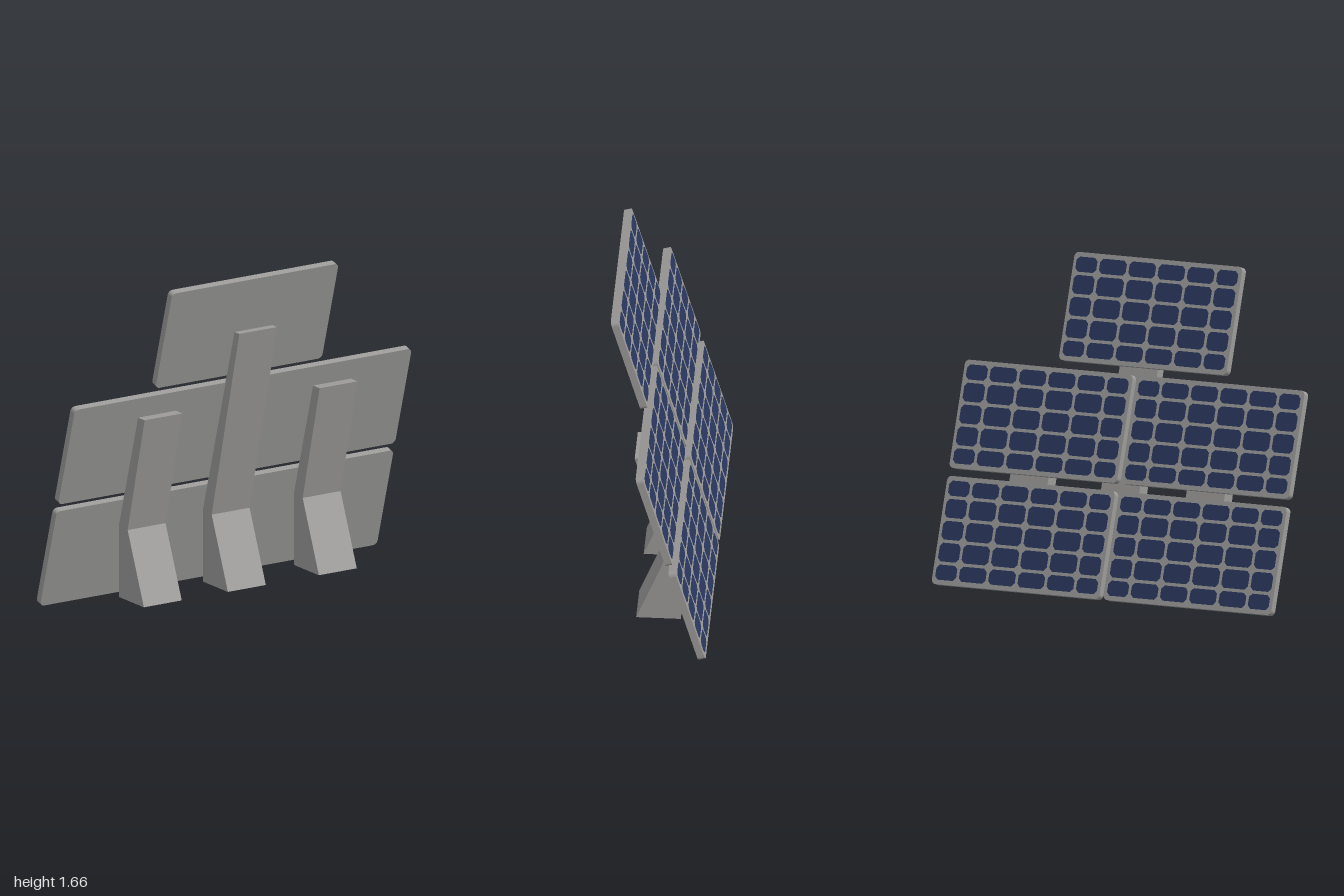
import * as THREE from 'three';

const TILT = 0.281;
const W = 0.988, H = 0.544, T = 0.036;

// Rectangle with rounded corners, centred on the origin
function roundedRect(w, h, r) {
  const s = new THREE.Shape(), x = w / 2 - r, y = h / 2 - r;
  s.absarc(x, y, r, 0, Math.PI / 2);
  s.absarc(-x, y, r, Math.PI / 2, Math.PI);
  s.absarc(-x, -y, r, Math.PI, Math.PI * 1.5);
  s.absarc(x, -y, r, Math.PI * 1.5, Math.PI * 2);
  s.closePath();
  return s;
}

// Rectangle with clipped corners
function cell(x0, x1, y0, y1, c) {
  return new THREE.Shape([
    [x0 + c, y0], [x1 - c, y0], [x1, y0 + c], [x1, y1 - c],
    [x1 - c, y1], [x0 + c, y1], [x0, y1 - c], [x0, y0 + c],
  ].map(([x, y]) => new THREE.Vector2(x, y)));
}

export function createModel() {
  const model = new THREE.Group();
  model.name = 'solarArray';

  const grey = new THREE.MeshStandardMaterial({ color: 0x9b9a99 });
  grey.name = 'greyMetal';
  const blue = new THREE.MeshStandardMaterial({ color: 0x2a385f });
  blue.name = 'cellBlue';

  // Panel slab, centred through its thickness
  const slab = new THREE.ExtrudeGeometry(roundedRect(W, H, 0.025), {
    depth: T, bevelEnabled: false, curveSegments: 4,
  });
  slab.translate(0, 0, -T / 2);

  // Grid of cells: the outer columns and rows are narrower
  const cols = [-0.484, -0.345, -0.172, 0, 0.172, 0.345, 0.484];
  const rows = [-0.257, -0.165, -0.055, 0.055, 0.165, 0.257];
  const gap = 0.008, shapes = [];
  for (let i = 0; i < cols.length - 1; i++) {
    for (let j = 0; j < rows.length - 1; j++) {
      shapes.push(cell(cols[i] + gap, cols[i + 1] - gap, rows[j] + gap, rows[j + 1] - gap, 0.017));
    }
  }
  const cells = new THREE.ShapeGeometry(shapes);
  cells.rotateY(Math.PI);
  cells.translate(0, 0, -T / 2 - 0.002);

  function addPanel(name, x, y, z) {
    const panel = new THREE.Group();
    panel.name = name;
    const frame = new THREE.Mesh(slab, grey);
    frame.name = 'panelFrame';
    const face = new THREE.Mesh(cells, blue);
    face.name = 'solarCells';
    panel.add(frame, face);
    panel.position.set(x, y, z);
    panel.rotation.x = TILT;
    model.add(panel);
  }

  // Two rows of two panels and a single one on top
  [['lower', 0.268, -0.16], ['middle', 0.829, 0.002]].forEach(([row, y, z]) => {
    addPanel(row + 'LeftPanel', 0.506, y, z);
    addPanel(row + 'RightPanel', -0.506, y, z);
  });
  addPanel('topPanel', -0.035, 1.391, 0.163);

  // Bent support: wedge foot and a leaning arm with a level top
  function addSupport(name, x, top, zFront, zBack) {
    const width = 0.225;
    const profile = new THREE.Shape([
      [0.115, 0.013], [-0.107, 0.013], [-0.107, 0.39],
      [zBack, top], [zFront, top], [-0.03, 0.376],
    ].map(([z, y]) => new THREE.Vector2(-z, y)));
    const geo = new THREE.ExtrudeGeometry(profile, { depth: width, bevelEnabled: false });
    geo.translate(0, 0, -width / 2);
    geo.rotateY(Math.PI / 2);
    const post = new THREE.Mesh(geo, grey);
    post.name = name;
    post.position.x = x;
    model.add(post);
  }
  addSupport('centreSupport', 0.007, 1.365, 0.217, 0.172);
  addSupport('leftSupport', 0.547, 0.977, 0.122, 0.06);
  addSupport('rightSupport', -0.492, 0.977, 0.122, 0.06);

  return model;
}
